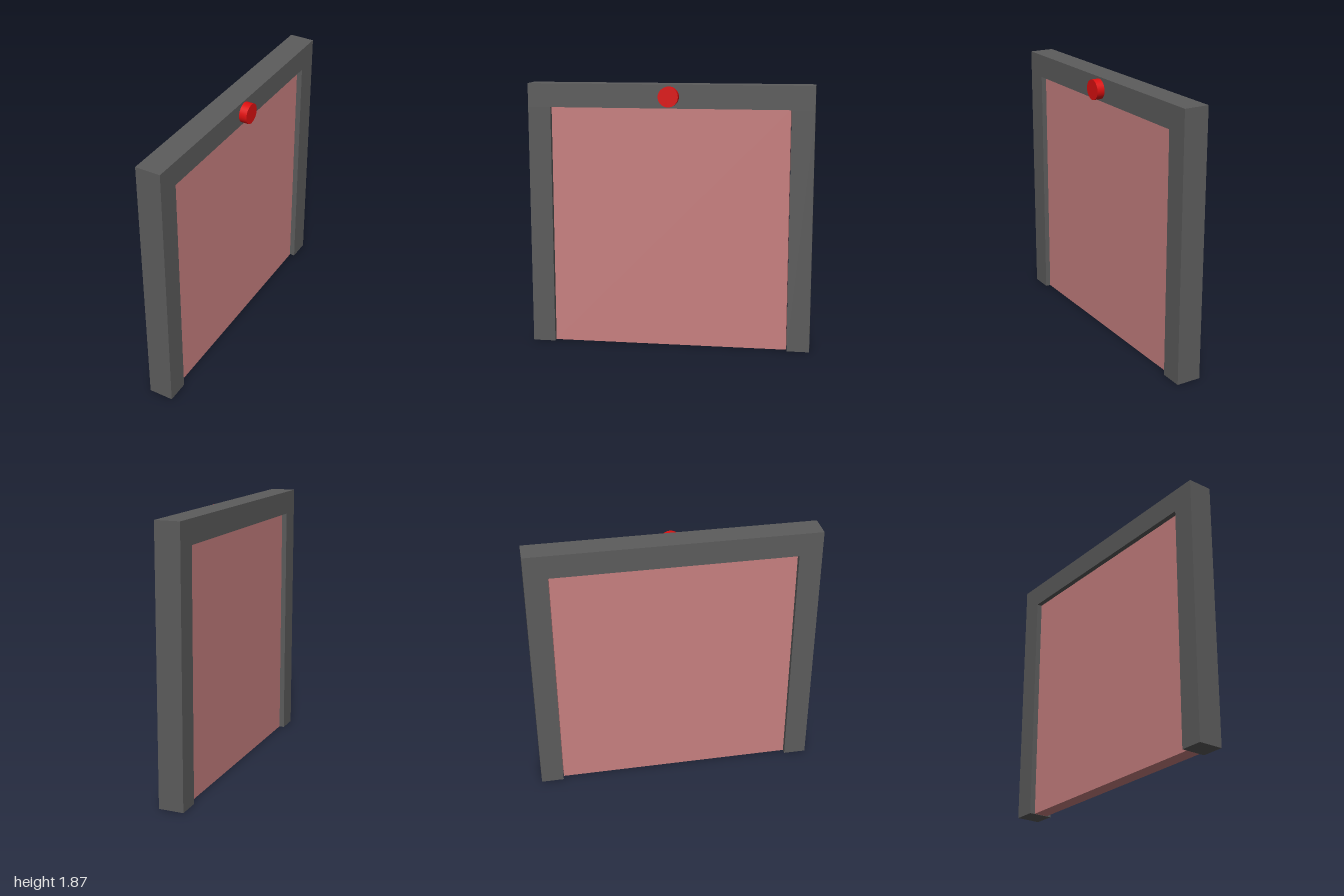
import * as THREE from 'three';

export function createModel() {
  const group = new THREE.Group();
  const material = (color) => new THREE.MeshStandardMaterial({ color });
  const frameMat = material(0x5c5c5c);
  const panelMat = material(0xc88080);
  const knobMat = material(0xdd1010);

  function add(name, geometry, mat, x, y, z) {
    const mesh = new THREE.Mesh(geometry, mat);
    mesh.name = name;
    mesh.position.set(x, y, z);
    group.add(mesh);
    return mesh;
  }

  const height = 1.87, opening = 1.705, depth = 0.175, post = 0.16;
  const frameX = -0.0275;

  // Door frame: two posts under a lintel
  for (const side of [1, -1]) {
    add(side > 0 ? 'frontPost' : 'backPost', new THREE.BoxGeometry(depth, opening, post),
      frameMat, frameX, opening / 2, side * (1 - post / 2));
  }
  add('lintel', new THREE.BoxGeometry(depth, height - opening, 2),
    frameMat, frameX, (height + opening) / 2, 0);

  // Recessed panel, leaving a narrow gap at the back post
  add('panel', new THREE.BoxGeometry(0.103, opening, 1.675), panelMat, frameX, opening / 2, 0.0025);

  // Round lamp on the lintel
  const lamp = add('lamp', new THREE.CylinderGeometry(0.07, 0.07, 0.055, 32), knobMat, 0.0875, 1.787, 0);
  lamp.rotation.z = -Math.PI / 2;

  return group;
}
